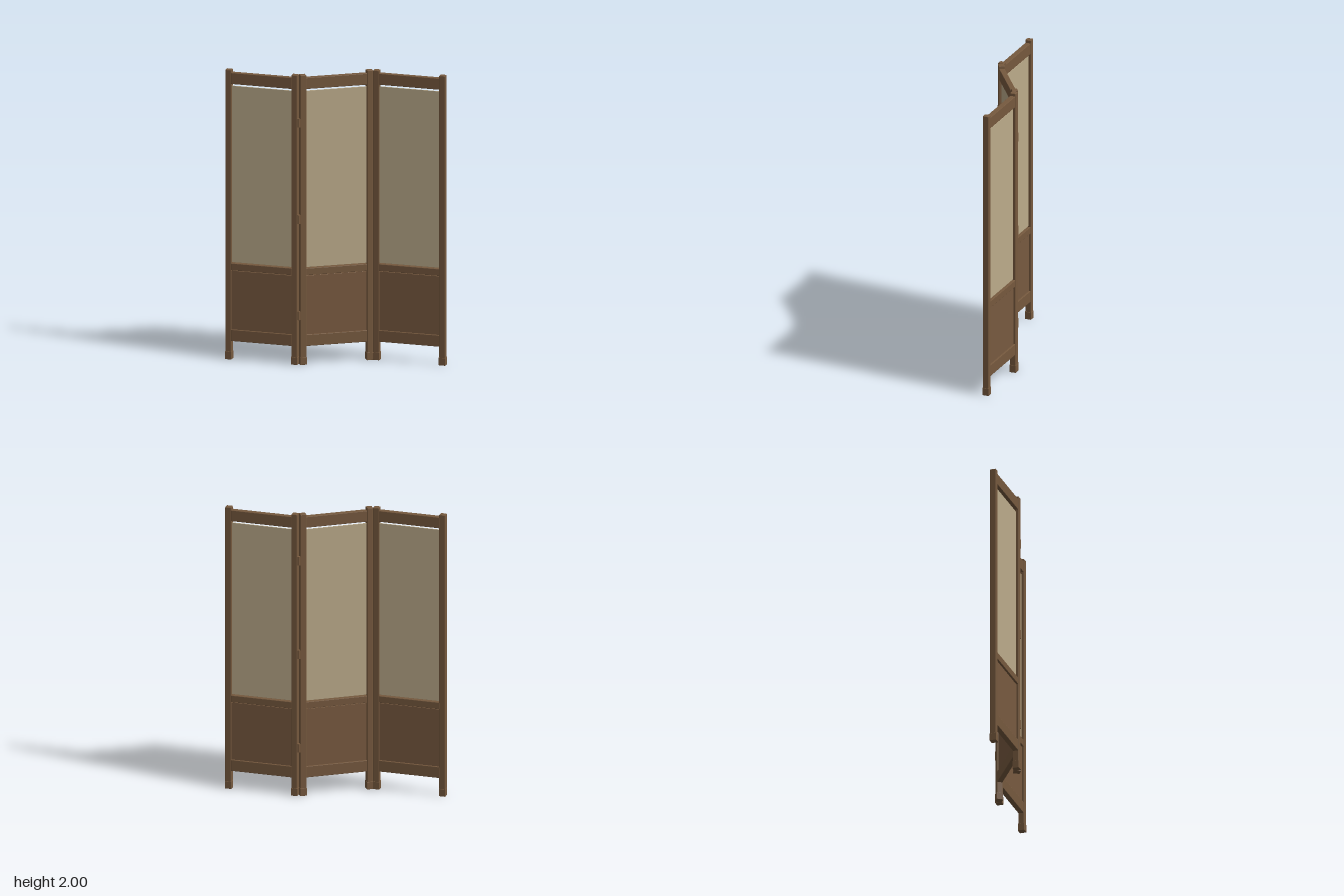
import * as THREE from 'three';
import { RoundedBoxGeometry } from 'three/addons/geometries/RoundedBoxGeometry.js';

const ANGLE = THREE.MathUtils.degToRad(17);
const SPAN = 0.464; // distance between the two posts of one panel
const POST = 0.042;

function material(name, color) {
  const m = new THREE.MeshStandardMaterial({ color });
  m.name = name;
  return m;
}

// Box with small flat chamfers, placed by its bottom and top heights
function chamferBox(name, mat, w, y0, y1, d, x = 0, bevel = 0.003) {
  const geo = new RoundedBoxGeometry(w, y1 - y0, d, 1, bevel);
  geo.computeVertexNormals();
  const mesh = new THREE.Mesh(geo, mat);
  mesh.name = name;
  mesh.position.set(x, (y0 + y1) / 2, 0);
  return mesh;
}

export function createModel() {
  const wood = material('wood', 0x76593e);
  const boardWood = material('board wood', 0x785a40);
  const cloth = material('cloth', 0xbcab8b);
  const hingeMetal = material('hinge brown', 0x7a5c40);

  const inner = SPAN - POST + 0.004;

  function createPanel(name) {
    const panel = new THREE.Group();
    panel.name = name;
    // Posts standing on slightly wider feet
    for (const [side, s] of [['left', 1], ['right', -1]]) {
      const x = s * SPAN / 2;
      panel.add(chamferBox(side + 'Post', wood, POST, 0.02, 2, POST, x, 0.004));
      panel.add(chamferBox(side + 'Foot', wood, 0.046, 0, 0.053, 0.046, x, 0.002));
    }
    // Rails
    panel.add(chamferBox('topRail', wood, inner, 1.902, 1.98, 0.037));
    panel.add(chamferBox('middleRail', wood, inner, 0.616, 0.664, 0.037));
    panel.add(chamferBox('bottomRail', wood, inner, 0.127, 0.206, 0.037));
    // Thin infills
    panel.add(chamferBox('clothInfill', cloth, inner, 0.669, 1.887, 0.008, 0, 0.001));
    panel.add(chamferBox('lowerBoard', boardWood, inner, 0.2, 0.611, 0.016, 0, 0.001));
    return panel;
  }

  const model = new THREE.Group();
  model.name = 'foldingScreen';

  // Three panels in a zigzag
  [['rightPanel', -0.494, -1], ['middlePanel', 0, 1], ['leftPanel', 0.494, -1]].forEach(([name, x, turn]) => {
    const panel = createPanel(name);
    panel.position.x = x;
    panel.rotation.y = turn * ANGLE;
    model.add(panel);
  });

  // Hinge barrels in the open side of each fold
  const barrel = new THREE.CylinderGeometry(0.011, 0.011, 0.06, 12);
  for (const s of [-1, 1]) {
    for (const y of [0.34, 1.005, 1.67]) {
      const hinge = new THREE.Mesh(barrel, hingeMetal);
      hinge.name = 'hinge';
      hinge.position.set(s * 0.247, y, -s * 0.086);
      model.add(hinge);
    }
  }
  return model;
}
